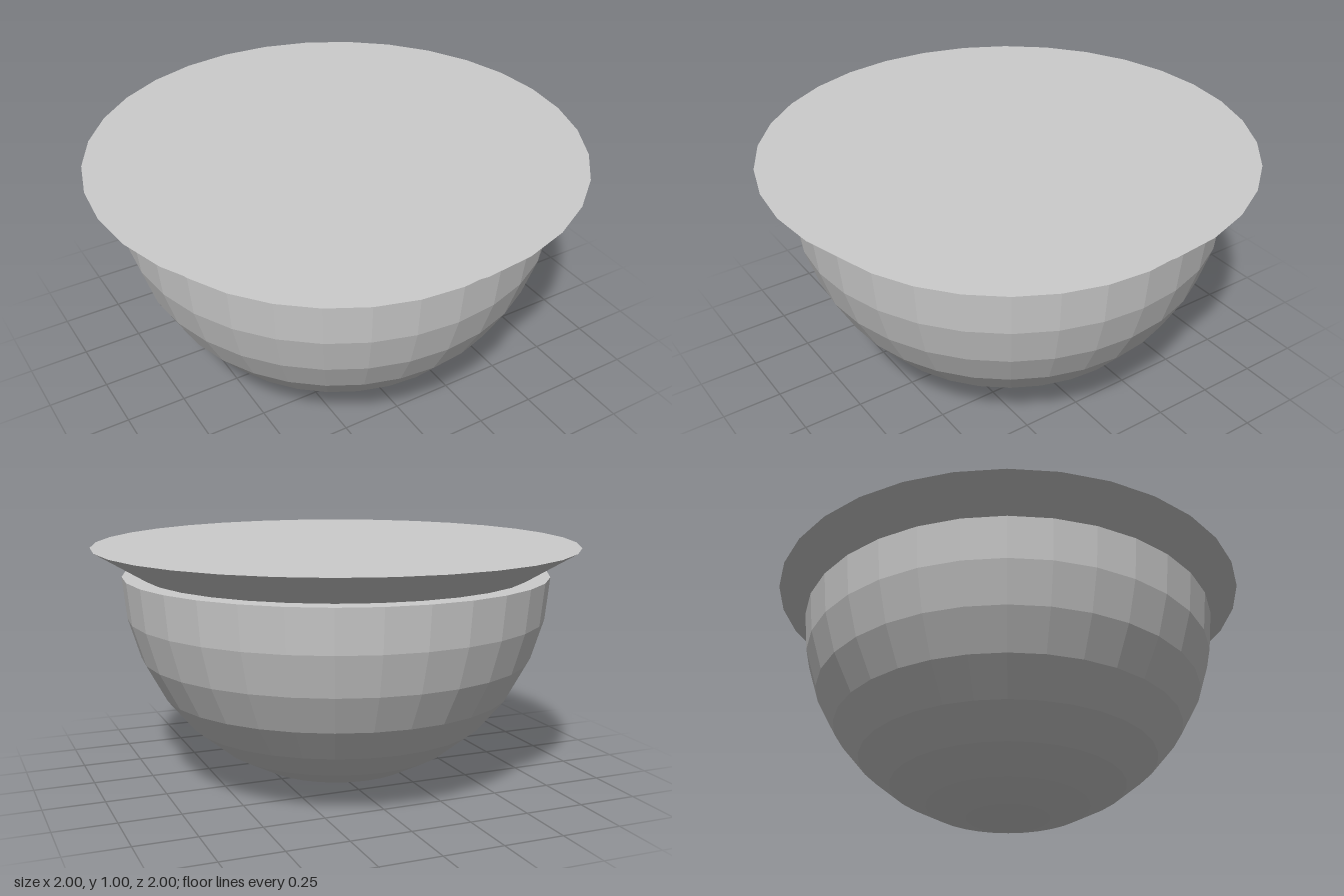
import * as THREE from 'three';

const SIDES = 32;
const BOWL_RADIUS = 0.88;
const RINGS = 8;

export function createModel() {
  const model = new THREE.Group();
  model.name = 'lampBowl';

  const grey = new THREE.MeshStandardMaterial({ color: 0xcccccc, flatShading: true });
  grey.name = 'light grey';

  // Faceted half sphere, closed by a flat cap at its rim
  const profile = [];
  for (let i = 0; i <= RINGS; i++) {
    const a = (i / RINGS) * Math.PI / 2;
    profile.push(new THREE.Vector2(BOWL_RADIUS * Math.sin(a), BOWL_RADIUS * (1 - Math.cos(a))));
  }
  profile.push(new THREE.Vector2(0, BOWL_RADIUS));
  const bowl = new THREE.Mesh(new THREE.LatheGeometry(profile, SIDES), grey);
  bowl.name = 'bowl';
  model.add(bowl);

  // Flared disc sitting on the bowl
  const lidHeight = 1 - BOWL_RADIUS;
  const lid = new THREE.Mesh(new THREE.CylinderGeometry(1, 0.8, lidHeight, SIDES, 1, false), grey);
  lid.position.y = BOWL_RADIUS + lidHeight / 2;
  lid.name = 'flaredLid';
  model.add(lid);

  return model;
}
